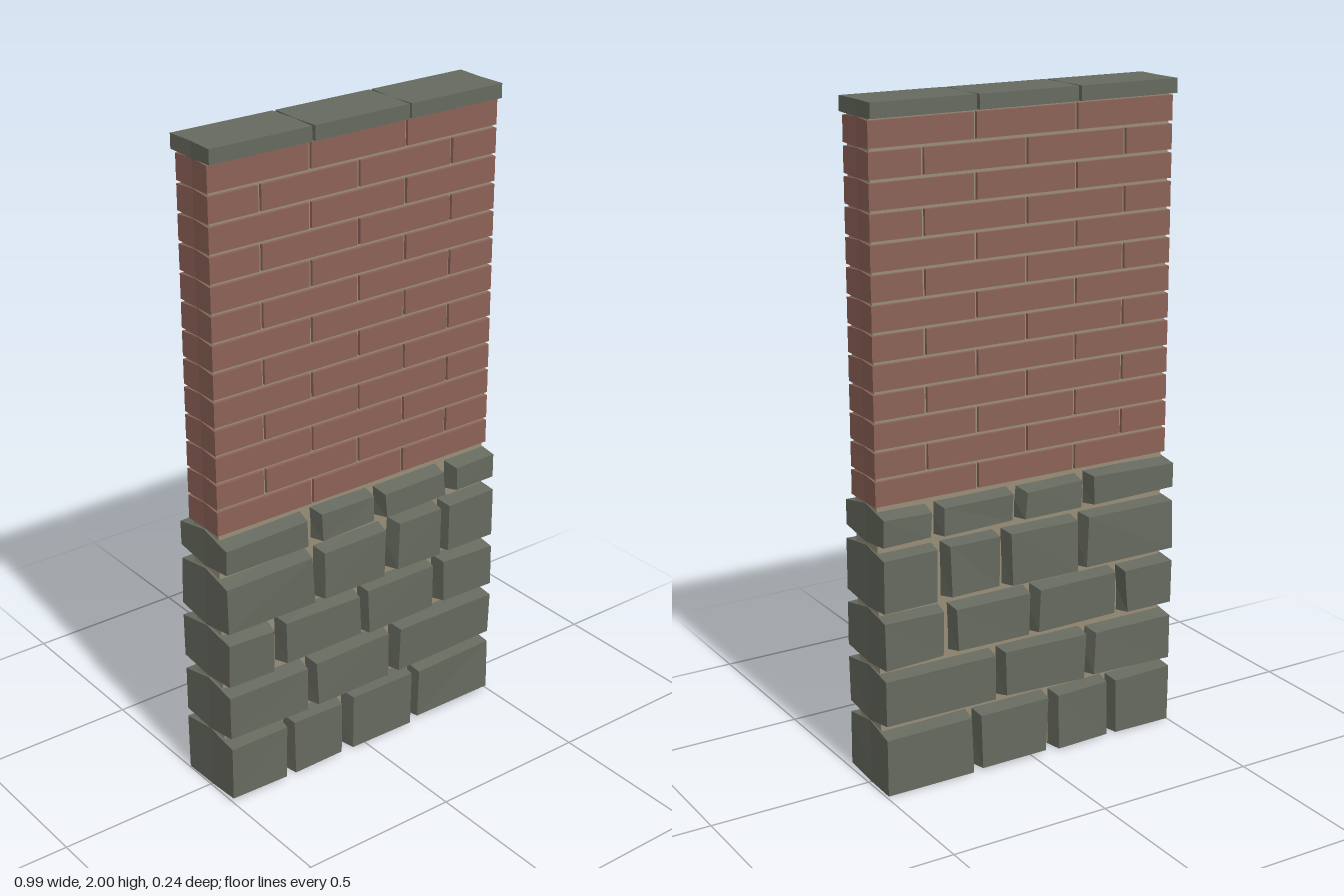
import * as THREE from 'three';

const stoneMat = new THREE.MeshStandardMaterial({ name: 'greyStone', color: 0x666a5f });
const brickMat = new THREE.MeshStandardMaterial({ name: 'redBrick', color: 0x8c6257 });
const mortarMat = new THREE.MeshStandardMaterial({ name: 'tanMortar', color: 0x988d78 });
for (const m of [stoneMat, brickMat, mortarMat]) m.flatShading = true;

// Small seeded generator for the rough stone corners, -1 to 1
let seed = 7;
const rough = () => {
  seed = (seed * 16807) % 2147483647;
  return (seed / 2147483647) * 2 - 1;
};

// Block lofted through back, middle and front; the middle swells by growX and growY.
// Faces on the ends of the wall stay upright.
function block(name, material, [x0, x1, y0, y1], depth, growX, growY, jitter = 0) {
  const pos = [];
  for (const s of [-1, 0, 1]) {
    const g = s === 0 ? 1 : 0;
    const left = x0 < -0.48 ? x0 + 0.004 * g : x0 - growX * g;
    const right = x1 > 0.48 ? x1 - 0.004 * g : x1 + growX * g;
    const bottom = Math.max(0, y0 - growY * g);
    const top = Math.min(2, y1 + growY * g);
    for (const [x, y] of [[left, bottom], [right, bottom], [right, top], [left, top]]) {
      const k = jitter * (1 - g);
      const atEnd = Math.abs(x) > 0.48;
      pos.push(x + (atEnd ? 0 : k * rough()), Math.max(0, y + k * rough()), s * depth + k * 0.6 * rough());
    }
  }
  const idx = [8, 9, 10, 8, 10, 11, 0, 2, 1, 0, 3, 2];
  for (let s = 0; s < 2; s++) {
    for (let i = 0; i < 4; i++) {
      const a = s * 4 + i, b = s * 4 + (i + 1) % 4;
      idx.push(a, b, b + 4, a, b + 4, a + 4);
    }
  }
  const indexed = new THREE.BufferGeometry();
  indexed.setAttribute('position', new THREE.Float32BufferAttribute(pos, 3));
  indexed.setIndex(idx);
  const geo = indexed.toNonIndexed();
  geo.computeVertexNormals();
  const mesh = new THREE.Mesh(geo, material);
  mesh.name = name;
  return mesh;
}

export function createModel() {
  seed = 7;
  const wall = new THREE.Group();
  wall.name = 'wall';

  // Mortar core
  const core = new THREE.Mesh(new THREE.BoxGeometry(0.975, 1.95, 0.126), mortarMat);
  core.name = 'mortarCore';
  core.position.y = 0.98;
  wall.add(core);

  // Rough stone base: bottom, top and the stone spans of each course
  const courses = [
    [0.008, 0.18, [[-0.498, -0.3], [-0.267, -0.09], [-0.05, 0.175], [0.215, 0.494]]],
    [0.217, 0.357, [[-0.498, -0.22], [-0.183, 0.093], [0.135, 0.494]]],
    [0.4, 0.535, [[-0.498, -0.335], [-0.292, -0.023], [0.014, 0.256], [0.302, 0.494]]],
    [0.573, 0.725, [[-0.498, -0.194], [-0.153, 0.076], [0.122, 0.281], [0.322, 0.494]]],
    [0.77, 0.85, [[-0.498, -0.21], [-0.163, 0.026], [0.07, 0.296], [0.342, 0.494]]],
  ];
  const base = new THREE.Group();
  base.name = 'stoneBase';
  for (const [y0, y1, spans] of courses) {
    for (const [x0, x1] of spans) base.add(block('baseStone', stoneMat, [x0, x1, y0, y1], 0.115, 0.016, 0.018, 0.006));
  }
  wall.add(base);

  // Brickwork in running bond
  const bricks = new THREE.Group();
  bricks.name = 'brickwork';
  const rows = 13, yStart = 0.87, pitch = (1.955 - yStart) / rows, gap = 0.005;
  for (let r = 0; r < rows; r++) {
    const joints = r % 2 ? [-0.33, 0, 0.33] : [-0.165, 0.165];
    const edges = [-0.495 - gap, ...joints, 0.495 + gap];
    const y = yStart + r * pitch;
    for (let i = 0; i < edges.length - 1; i++) {
      bricks.add(block('brick', brickMat, [edges[i] + gap, edges[i + 1] - gap, y + gap, y + pitch - gap], 0.072, 0.004, 0.004));
    }
  }
  wall.add(bricks);

  // Coping slabs on top
  const coping = new THREE.Group();
  coping.name = 'coping';
  for (const [x0, x1] of [[-0.498, -0.17], [-0.16, 0.161], [0.169, 0.496]]) {
    coping.add(block('copingSlab', stoneMat, [x0, x1, 1.957, 2], 0.089, 0.004, 0.003));
  }
  wall.add(coping);

  return wall;
}
